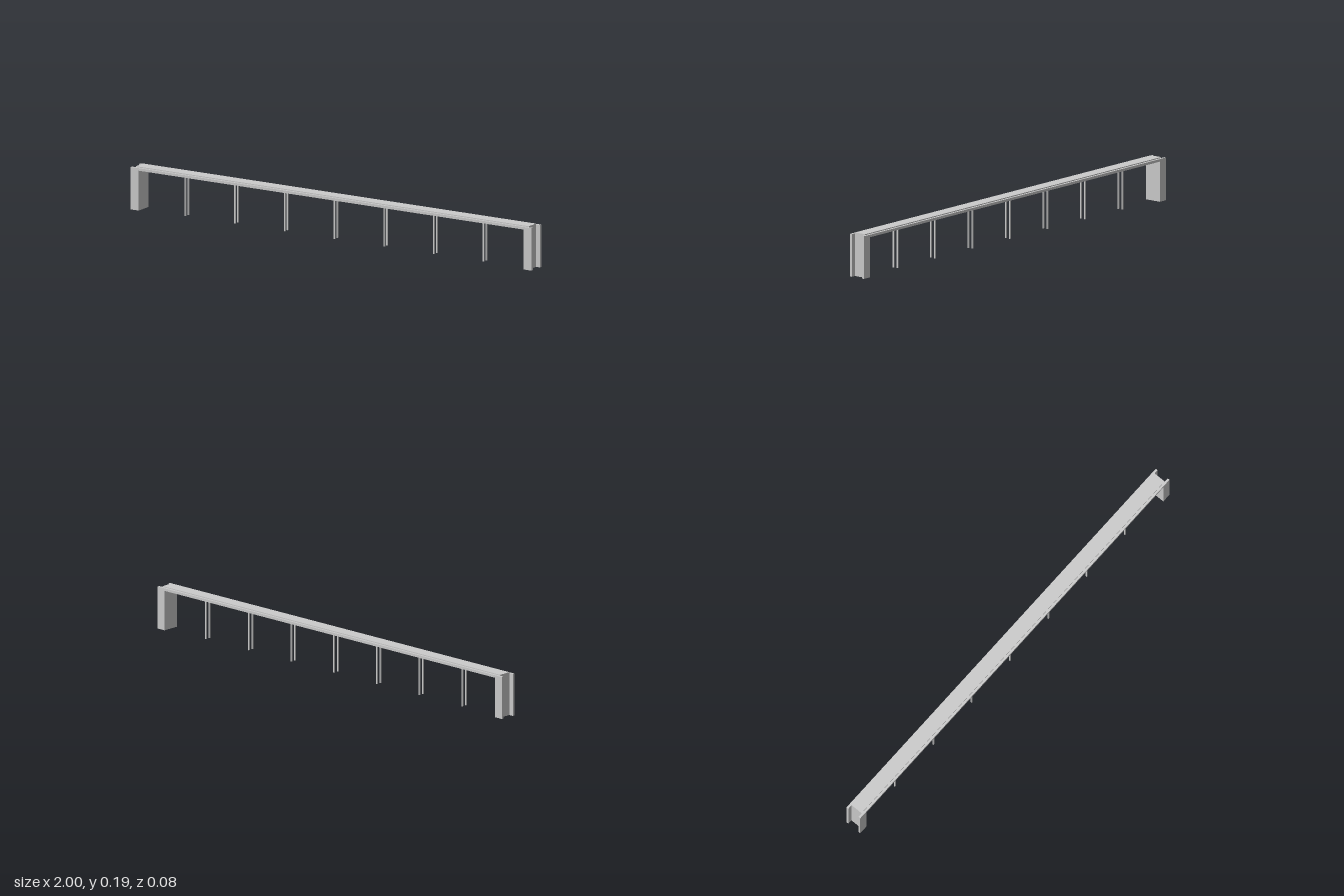
import * as THREE from 'three';

export function createModel() {
  const model = new THREE.Group();
  const material = new THREE.MeshStandardMaterial({ color: 0xcccccc, flatShading: true });

  // Box given by its lower and upper corners
  const box = (name, [x0, y0, z0], [x1, y1, z1]) => {
    const mesh = new THREE.Mesh(new THREE.BoxGeometry(x1 - x0, y1 - y0, z1 - z0), material);
    mesh.position.set((x0 + x1) / 2, (y0 + y1) / 2, (z0 + z1) / 2);
    mesh.name = name;
    model.add(mesh);
  };

  const outer = 0.038, inner = 0.028; // half widths across the side plates
  const under = 0.173, sideTop = 0.184, deckTop = 0.188;

  // Long deck between the side plates, standing slightly above them
  box('deck', [-0.98, under, -inner], [0.98, deckTop, inner]);

  for (const s of [-1, 1]) {
    // Side plate: one continuous portal outline with a leg at each end
    const outline = new THREE.Shape([
      [-1, 0], [-0.96, 0], [-0.96, under], [0.96, under],
      [0.96, 0], [1, 0], [1, sideTop], [-1, sideTop],
    ].map(([x, y]) => new THREE.Vector2(x, y)));
    const plate = new THREE.Mesh(
      new THREE.ExtrudeGeometry(outline, { depth: outer - inner, bevelEnabled: false }), material);
    plate.position.z = s > 0 ? inner : -outer;
    plate.name = s > 0 ? 'frontSidePlate' : 'backSidePlate';
    model.add(plate);

    // Web of the end leg, leaving a channel open to the outside
    const xs = [s * 0.96, s * 0.98].sort((a, b) => a - b);
    box(s > 0 ? 'leftLegWeb' : 'rightLegWeb', [xs[0], 0, -inner], [xs[1], under, inner]);
  }

  // Seven pairs of slender posts under the deck
  const half = 0.003;
  for (let i = -3; i <= 3; i++) {
    for (const z of [-0.011, 0.011]) {
      const x = i * 0.248;
      box('post', [x - half, 0, z - half], [x + half, under, z + half]);
    }
  }
  return model;
}
